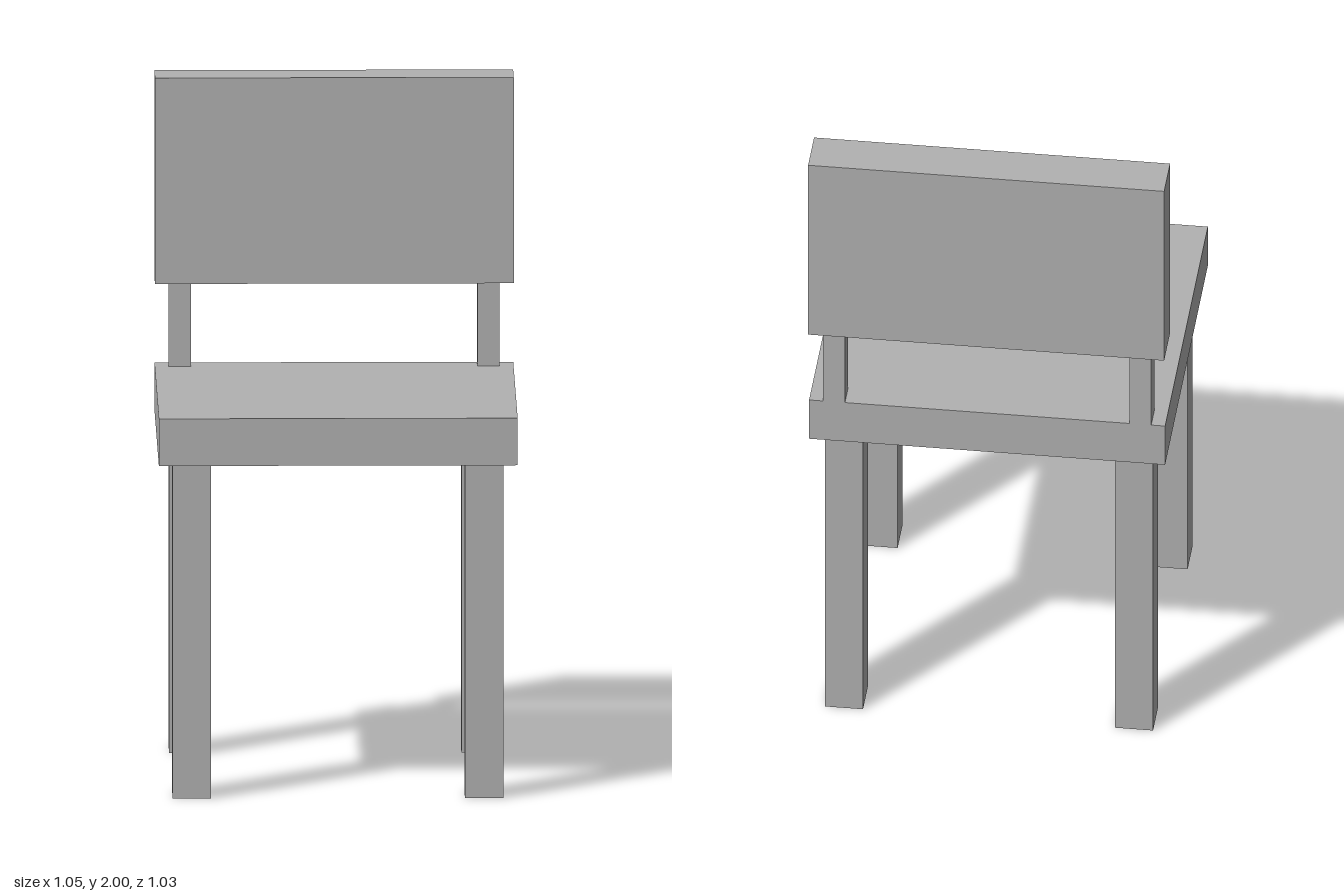
import * as THREE from 'three';

export function createModel() {
  const chair = new THREE.Group();
  chair.name = 'chair';
  const grey = new THREE.MeshStandardMaterial({ color: 0xb2b2b2 });
  grey.name = 'grey';

  // Box given by its low and high limits on each axis
  function addBox(name, [x0, x1], [y0, y1], [z0, z1]) {
    const mesh = new THREE.Mesh(new THREE.BoxGeometry(x1 - x0, y1 - y0, z1 - z0), grey);
    mesh.position.set((x0 + x1) / 2, (y0 + y1) / 2, (z0 + z1) / 2);
    mesh.name = name;
    chair.add(mesh);
  }

  // Seat slab and backrest panel
  addBox('seat', [-0.526, 0.526], [0.995, 1.135], [-0.492, 0.515]);
  addBox('backrest', [-0.526, 0.526], [1.388, 2], [-0.515, -0.375]);

  // Legs and backrest posts, mirrored left and right
  for (const [side, s] of [['left', 1], ['right', -1]]) {
    const span = (a, b) => (s > 0 ? [a, b] : [-b, -a]);
    addBox(side + 'FrontLeg', span(0.372, 0.485), [0, 0.995], [0.365, 0.476]);
    addBox(side + 'BackLeg', span(0.372, 0.485), [0, 0.995], [-0.449, -0.338]);
    addBox(side + 'BackPost', span(0.42, 0.485), [1.135, 1.388], [-0.492, -0.42]);
  }
  return chair;
}
